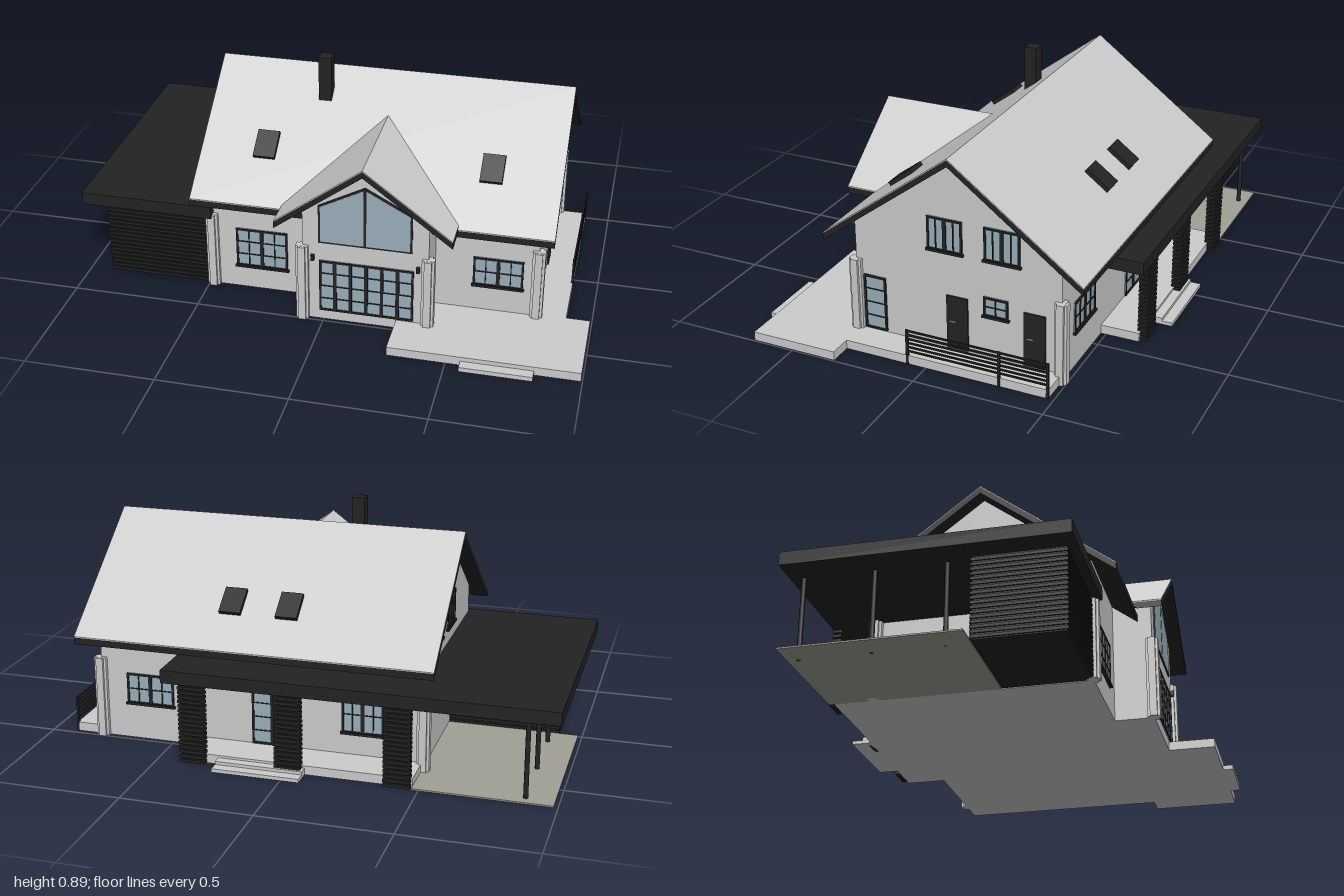
import * as THREE from 'three';

const paint = (name, color) => {
  const m = new THREE.MeshStandardMaterial({ color });
  m.name = name;
  return m;
};

export function createModel() {
  const model = new THREE.Group();
  model.name = 'house';
  const grey = paint('light grey', 0xcccccc);
  const black = paint('charcoal', 0x232323);
  const glass = paint('window glass', 0x9aafba);
  const paving = paint('carport paving', 0xa0a096);

  const add = (name, geo, mat, parent = model) => {
    const m = new THREE.Mesh(geo, mat);
    m.name = name;
    parent.add(m);
    return m;
  };
  // Box given by its limits on each axis
  const box = (name, mat, x0, x1, y0, y1, z0, z1, parent = model) => {
    const m = add(name, new THREE.BoxGeometry(x1 - x0, y1 - y0, z1 - z0), mat, parent);
    m.position.set((x0 + x1) / 2, (y0 + y1) / 2, (z0 + z1) / 2);
    return m;
  };
  const shapeOf = pts => new THREE.Shape(pts.map(p => new THREE.Vector2(...p)));
  const extrude = (pts, depth) =>
    new THREE.ExtrudeGeometry(shapeOf(pts), { depth, bevelEnabled: false });
  // Extrude a (z, y) outline along x
  const extrudeX = (pts, x0, x1) =>
    extrude(pts, x1 - x0).rotateY(-Math.PI / 2).translate(x1, 0, 0);
  // Folded roof section: ridge at (c, top), two equal slopes
  const chevron = (c, top, half, drop, t) => [
    [c - half, top - drop], [c - half, top - drop - t], [c, top - t],
    [c + half, top - drop - t], [c + half, top - drop], [c, top]];

  // Main roof
  const RZ = -0.075, RY = 0.81, SLOPE = 0.75;
  const roofY = z => RY - Math.abs(z - RZ) * SLOPE;
  const half = 0.508;
  add('mainRoofCovering', extrudeX(chevron(RZ, RY, half, half * SLOPE, 0.004), -0.535, 0.85), grey);
  add('mainRoofDeck', extrudeX(chevron(RZ, RY - 0.004, half, half * SLOPE, 0.026), -0.535, 0.85), black);

  // Front gable roof, its back end trimmed to the main slope
  const gableRoof = (name, top, t, mat) => {
    const geo = extrude(chevron(0.16, top, 0.335, 0.25, t), 0.45);
    const p = geo.attributes.position;
    for (let i = 0; i < p.count; i++)
      p.setZ(i, p.getZ(i) > 0.2 ? 0.54 : RZ + (RY - p.getY(i)) / SLOPE - 0.01);
    geo.computeVertexNormals();
    add(name, geo, mat);
  };
  gableRoof('gableRoofCovering', 0.69, 0.004, grey);
  gableRoof('gableRoofDeck', 0.686, 0.026, black);

  // Walls
  const wallTop = z => roofY(z) - 0.028;
  add('mainWalls', extrudeX([[-0.48, 0], [0.335, 0], [0.335, wallTop(0.335)],
    [RZ, wallTop(RZ)], [-0.48, wallTop(-0.48)]], -0.475, 0.79), grey);
  const gableWall = extrude([[-0.08, 0], [0.4, 0], [0.4, 0.483], [0.16, 0.662], [-0.08, 0.483]], 0.185);
  add('gableWalls', gableWall.translate(0, 0, 0.3), grey);

  // Stepped corner pilasters
  for (const [x, z] of [[0.79, 0.335], [-0.48, 0.335], [0.79, -0.48], [-0.48, -0.48], [-0.08, 0.485], [0.4, 0.485]]) {
    const g = new THREE.Group();
    g.name = 'cornerPilaster';
    model.add(g);
    const a = 0.024, b = 0.014;
    box('pilasterWide', grey, x - a, x + a, 0, 0.32, z - b, z + b, g);
    box('pilasterDeep', grey, x - b, x + b, 0, 0.319, z - a, z + a, g);
  }

  // Terraces and steps
  box('frontTerrace', grey, 0.28, 0.995, 0, 0.035, 0.325, 0.665);
  box('sideTerrace', grey, 0.78, 0.905, 0, 0.035, -0.48, 0.33);
  box('frontStep', grey, 0.555, 0.825, 0, 0.018, 0.66, 0.705);
  box('backDeck', grey, -0.475, 0.42, 0, 0.035, -0.63, -0.47);
  box('backUpperStep', grey, -0.07, 0.265, 0, 0.026, -0.665, -0.62);
  box('backLowerStep', grey, -0.07, 0.265, 0, 0.014, -0.705, -0.66);

  // Carport: paving, flat roof, posts
  box('carportFloor', paving, -0.985, -0.475, 0, 0.006, -0.65, 0);
  box('carportRoof', black, -1, -0.475, 0.31, 0.36, -0.658, 0.37);
  box('backCanopy', black, -0.476, 0.475, 0.31, 0.36, -0.658, -0.48);
  for (const z of [-0.61, -0.35, -0.09]) {
    const post = add('carportPost', new THREE.CylinderGeometry(0.009, 0.009, 0.31, 12), black);
    post.position.set(-0.88, 0.155, z);
  }

  // Slatted cladding: a core with evenly stacked boards
  const slatted = (name, x0, x1, z0, z1, out) => {
    const g = new THREE.Group();
    g.name = name;
    model.add(g);
    box('core', black, x0 + out, x1 - out, 0, 0.31, z0 + out, z1 - out, g);
    for (let i = 0; i < 17; i++) {
      const y = 0.004 + i * 0.018;
      box('slat', black, x0, x1, y, y + 0.011, z0, z1, g);
    }
  };
  slatted('storageShed', -0.912, -0.476, 0, 0.338, 0.006);
  for (const x of [0.36, -0.01, -0.42]) slatted('slatColumn', x - 0.05, x + 0.05, -0.656, -0.62, 0.01);

  // Opening in its own frame, facing local +z, origin at its lower middle
  const opening = (name, at, turn, w, h, bars, rails, sill = true) => {
    const g = new THREE.Group();
    g.name = name;
    g.position.set(...at);
    g.rotation.y = turn;
    model.add(g);
    const f = 0.008, d = 0.007;
    box('pane', glass, -w / 2, w / 2, 0, h, -0.002, 0.003, g);
    for (const s of [-1, 1])
      box('frameSide', black, s * (w / 2 - f / 2) - f / 2, s * (w / 2 - f / 2) + f / 2, 0, h, 0, d, g);
    box('frameTop', black, -w / 2, w / 2, h - f, h, 0, d, g);
    box('frameBottom', black, -w / 2, w / 2, 0, f, 0, d, g);
    for (const [u, t] of bars) box('mullion', black, u * w - t / 2, u * w + t / 2, 0, h, 0, d, g);
    for (const v of rails) box('rail', black, -w / 2, w / 2, v * h - 0.002, v * h + 0.002, 0, d - 0.001, g);
    if (sill) box('sill', black, -w / 2 - 0.005, w / 2 + 0.005, -0.005, 0.004, 0, 0.012, g);
  };
  const casement = [[-0.25, 0.004], [0, 0.014], [0.25, 0.004]];
  const R = Math.PI / 2;
  opening('frontLeftWindow', [0.64, 0.143, 0.335], 0, 0.19, 0.122, casement, [0.5]);
  opening('frontRightWindow', [-0.2825, 0.098, 0.335], 0, 0.205, 0.167, casement, [0.33, 0.66]);
  opening('patioDoors', [0.165, 0.042, 0.485], 0, 0.36, 0.22,
    [-2, -1, 0, 1, 2].map(i => [i / 6, i % 2 ? 0.012 : 0.014]), [0.25, 0.5, 0.75], false);
  for (const z of [-0.03, -0.253]) {
    opening('leftGableWindow', [0.79, 0.422, z], R, 0.138, 0.13, casement, []);
    opening('rightGableWindow', [-0.475, 0.422, z], -R, 0.138, 0.13, casement, []);
  }
  opening('sideSmallWindow', [0.79, 0.2, -0.227], R, 0.096, 0.078, [[0, 0.004]], [0.5]);
  opening('sideGlassDoor', [0.79, 0.04, 0.26], R, 0.09, 0.22, [], [0.25, 0.5, 0.75], false);
  opening('backWindow', [0.59, 0.143, -0.48], 2 * R, 0.19, 0.122, casement, [0.5]);
  opening('backGlassDoor', [0.1, 0.036, -0.48], 2 * R, 0.16, 0.22, [[0, 0.014]], [0.25, 0.5, 0.75], false);
  opening('backSmallWindow', [-0.25, 0.12, -0.48], 2 * R, 0.16, 0.15, casement, [0.5]);

  // Solid side doors with handles
  for (const z of [-0.075, -0.378]) {
    box('sideDoor', black, 0.785, 0.797, 0.037, 0.25, z - 0.042, z + 0.042);
    box('doorHandle', grey, 0.797, 0.803, 0.147, 0.15, z + 0.005, z + 0.028);
  }

  // Pointed gable window: dark frame plate with two panes
  const pentagon = [[-0.018, 0.338], [0.338, 0.338], [0.338, 0.497], [0.16, 0.592], [-0.018, 0.497]];
  add('gableWindowFrame', extrude(pentagon, 0.004).translate(0, 0, 0.485), black);
  for (const s of [-1, 1]) {
    const pts = [[0.005, 0.345], [0.17, 0.345], [0.17, 0.493], [0.005, 0.58]].map(([x, y]) => [0.16 + s * x, y]);
    add('gablePane', extrude(pts, 0.003).translate(0, 0, 0.487), glass);
  }
  for (const x of [-0.04, 0.362]) box('wallLamp', black, x - 0.006, x + 0.006, 0.262, 0.284, 0.485, 0.5);

  // Roof windows, tilted onto the slopes
  for (const [x, z] of [[-0.2825, 0.232], [0.5875, 0.232], [0.0525, -0.41], [0.2725, -0.41]]) {
    const s = add('skylight', new THREE.BoxGeometry(0.084, 0.02, 0.113), black);
    s.position.set(x, roofY(z) + 0.008, z);
    s.rotation.x = Math.sign(z - RZ) * Math.atan(SLOPE);
  }
  box('chimney', black, -0.12, -0.07, 0.7, 0.89, 0.006, 0.056);

  // Terrace railing
  const rail = new THREE.Group();
  rail.name = 'railing';
  model.add(rail);
  for (const z of [0.073, -0.29, -0.476])
    box('railPost', black, 0.899, 0.907, 0, 0.14, z - 0.005, z + 0.005, rail);
  for (let i = 0; i < 6; i++)
    box('railBar', black, 0.9, 0.906, 0.05 + i * 0.0165, 0.0565 + i * 0.0165, -0.48, 0.077, rail);

  return model;
}
